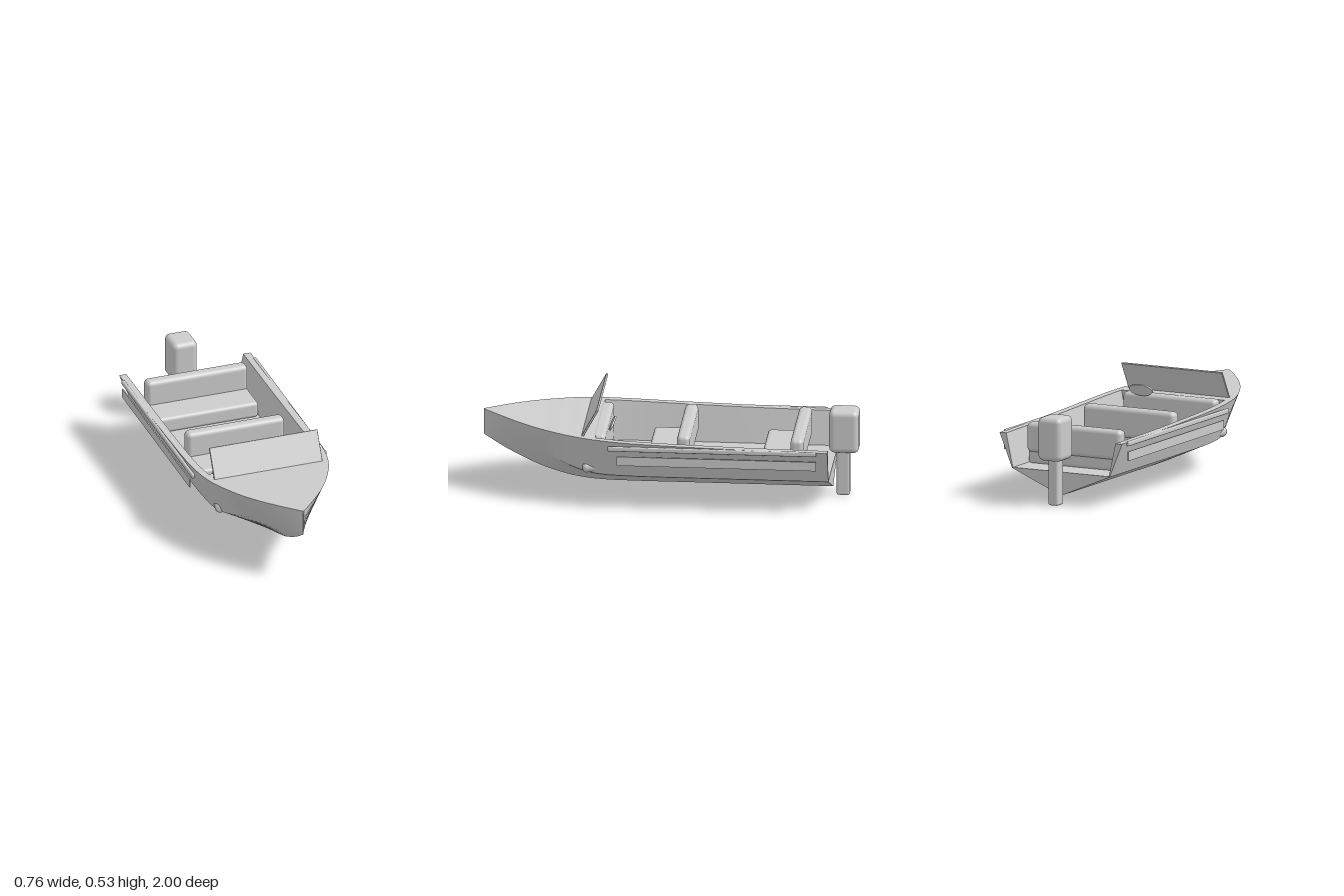
import * as THREE from 'three';
import { toCreasedNormals } from 'three/addons/utils/BufferGeometryUtils.js';
import { RoundedBoxGeometry } from 'three/addons/geometries/RoundedBoxGeometry.js';

// Hull stations: z, keel y, chine x, chine y, gunwale x, gunwale y
const STATIONS = [
  [-0.86, 0.04, 0.295, 0.165, 0.37, 0.35],
  [-0.45, 0.04, 0.295, 0.165, 0.37, 0.355],
  [-0.1, 0.04, 0.295, 0.165, 0.37, 0.363],
  [0.2, 0.04, 0.29, 0.165, 0.367, 0.373],
  [0.38, 0.044, 0.275, 0.17, 0.351, 0.382],
  [0.5, 0.058, 0.245, 0.193, 0.323, 0.389],
  [0.6, 0.082, 0.2, 0.222, 0.283, 0.395],
  [0.7, 0.116, 0.15, 0.244, 0.232, 0.401],
  [0.8, 0.162, 0.1, 0.264, 0.168, 0.408],
  [0.9, 0.216, 0.05, 0.284, 0.09, 0.415],
  [1.0, 0.28, 0.003, 0.305, 0.003, 0.421],
];
const LAST = STATIONS.length - 1;
const BULKHEAD = 4;
const lower = new THREE.CatmullRomCurve3(
  STATIONS.map((s) => new THREE.Vector3(s[1], s[2], s[3])), false, 'catmullrom', 0.5);
const upper = new THREE.CatmullRomCurve3(
  STATIONS.map((s) => new THREE.Vector3(s[4], s[5], s[0])), false, 'catmullrom', 0.5);

// Closed cross-section, counter-clockwise seen from the bow
function section(station, open) {
  const { x: keelY, y: chineX, z: chineY } = lower.getPoint(station / LAST);
  const { x: gunX, y: gunY, z } = upper.getPoint(station / LAST);
  const half = [[chineX, chineY], [gunX, gunY]];
  if (open) half.push([gunX - 0.04, gunY], [chineX - 0.005, chineY + 0.003]);
  const mirrored = half.map(([x, y]) => [-x, y]).reverse();
  return [[0, keelY], ...half, ...mirrored].map(([x, y]) => new THREE.Vector3(x, y, z));
}

// Skin the sections from one station to another and cap both ends
function loftHull(from, to, open) {
  const rings = [];
  for (let s = from; s <= to + 1e-6; s += 0.25) rings.push(section(s, open));
  const pts = [];
  const n = rings[0].length;
  for (let i = 0; i < rings.length - 1; i++) {
    for (let j = 0; j < n; j++) {
      const k = (j + 1) % n;
      const [a, b, c, d] = [rings[i][j], rings[i][k], rings[i + 1][k], rings[i + 1][j]];
      pts.push(a, b, c, a, c, d);
    }
  }
  const cap = (ring, flip) => {
    const flat = ring.map((p) => new THREE.Vector2(p.x, p.y));
    for (const [a, b, c] of THREE.ShapeUtils.triangulateShape(flat, [])) {
      pts.push(ring[a], ring[flip ? c : b], ring[flip ? b : c]);
    }
  };
  cap(rings[0], true);
  cap(rings[rings.length - 1], false);
  return toCreasedNormals(new THREE.BufferGeometry().setFromPoints(pts), 0.45);
}

export function createModel() {
  const boat = new THREE.Group();
  boat.name = 'motorboat';
  const grey = new THREE.MeshStandardMaterial({ color: 0xcccccc });
  grey.name = 'light grey';

  const add = (name, geometry, x = 0, y = 0, z = 0) => {
    const mesh = new THREE.Mesh(geometry, grey);
    mesh.name = name;
    mesh.position.set(x, y, z);
    boat.add(mesh);
    return mesh;
  };
  // Rounded block given by its extents
  const block = (name, [x0, x1], [y0, y1], [z0, z1], radius) => add(
    name, new RoundedBoxGeometry(x1 - x0, y1 - y0, z1 - z0, 4, radius),
    (x0 + x1) / 2, (y0 + y1) / 2, (z0 + z1) / 2);

  // Open cockpit aft, decked bow forward
  add('cockpitHull', loftHull(0, BULKHEAD, true));
  add('bowHull', loftHull(BULKHEAD, LAST, false));

  // Two bench seats with backrests
  for (const [name, z, half] of [['middleSeat', -0.12, 0.275], ['rearSeat', -0.725, 0.285]]) {
    block(name + 'Back', [-half, half], [0.23, 0.39], [z, z + 0.07], 0.025);
    block(name + 'Cushion', [-half, half], [0.165, 0.255], [z + 0.02, z + 0.235], 0.02);
  }

  // Dashboard and steering wheel
  block('dashboard', [-0.28, 0.28], [0.18, 0.385], [0.33, 0.4], 0.022);
  const wheel = add('steeringWheel', new THREE.CylinderGeometry(0.07, 0.07, 0.01, 32), 0.15, 0.41, 0.302);
  wheel.scale.z = 0.5;
  wheel.rotation.x = 1.12;

  // Raked windshield
  const shield = add('windshield',
    new RoundedBoxGeometry(0.61, 0.175, 0.012, 2, 0.004), 0, 0.456, 0.41);
  shield.rotation.x = -0.5;

  for (const [side, s] of [['left', 1], ['right', -1]]) {
    // Rub rail and flat side panel
    add(side + 'RubRail', new RoundedBoxGeometry(0.018, 0.026, 1.11, 3, 0.007), s * 0.371, 0.342, -0.245);
    add(side + 'SidePanel', new THREE.BoxGeometry(0.006, 0.05, 1.06), s * 0.372, 0.275, -0.27);
    // Tapered spray knob on the chine
    const profile = [[0, -0.05], [0.012, -0.05], [0.022, 0], [0.029, 0.03], [0.026, 0.044], [0.014, 0.05], [0, 0.05]];
    const knob = add(side + 'SprayKnob', new THREE.LatheGeometry(
      profile.map(([r, y]) => new THREE.Vector2(r, y)), 24), s * 0.265, 0.2, 0.4);
    knob.rotation.x = Math.PI / 2;
  }

  // Outboard motor
  block('motorCowl', [-0.07, 0.07], [0.245, 0.48], [-1, -0.842], 0.03);
  block('motorLeg', [-0.03, 0.03], [0, 0.27], [-0.95, -0.88], 0.012);
  return boat;
}
